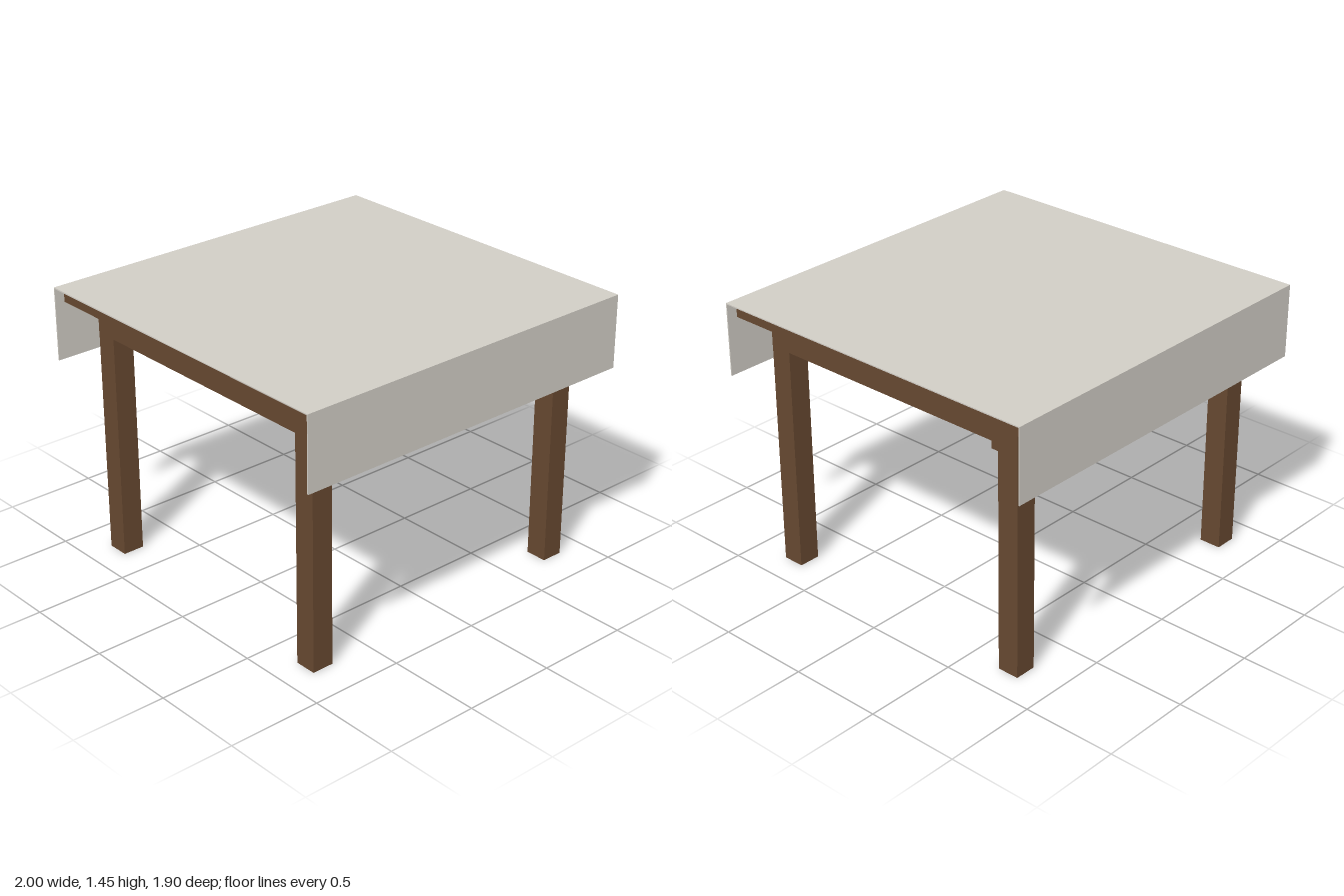
import * as THREE from 'three';

export function createModel() {
  const table = new THREE.Group();
  table.name = 'table';
  const wood = new THREE.MeshStandardMaterial({ color: 0x664830, side: THREE.DoubleSide });
  const cloth = new THREE.MeshStandardMaterial({ color: 0xd1cdc5 });

  function add(name, geometry, material, x, y, z) {
    const mesh = new THREE.Mesh(geometry, material);
    mesh.name = name;
    mesh.position.set(x, y, z);
    table.add(mesh);
    return mesh;
  }
  // A box given by its full width and depth and its bottom and top heights
  function slab(name, material, w, d, y0, y1, z = 0) {
    return add(name, new THREE.BoxGeometry(w, y1 - y0, d), material, 0, (y0 + y1) / 2, z);
  }

  // Board and the solid apron block beneath it
  slab('tableTop', wood, 1.93, 1.832, 1.376, 1.444);
  slab('apron', wood, 1.694, 1.606, 1.214, 1.376);

  // Four square legs, hollow and open at the foot
  const legHeight = 1.214, legWidth = 0.117;
  const legGeometry = new THREE.CylinderGeometry(
    legWidth / Math.SQRT2, legWidth / Math.SQRT2, legHeight, 4, 1, true
  ).rotateY(Math.PI / 4).toNonIndexed();
  legGeometry.computeVertexNormals();
  for (const [xName, sx] of [['Left', 1], ['Right', -1]]) {
    for (const [zName, sz] of [['front', 1], ['back', -1]]) {
      add(`${zName}${xName}Leg`, legGeometry, wood, sx * 0.788, legHeight / 2, sz * 0.744);
    }
  }

  // Thin cloth over the board, hanging down at front and back
  const t = 0.006;
  slab('clothTop', cloth, 2, 1.9, 1.451 - t, 1.451);
  for (const [name, s] of [['clothFront', 1], ['clothBack', -1]]) {
    slab(name, cloth, 2, t, 1.06, 1.451 - t, s * (0.95 - t / 2));
  }

  return table;
}
